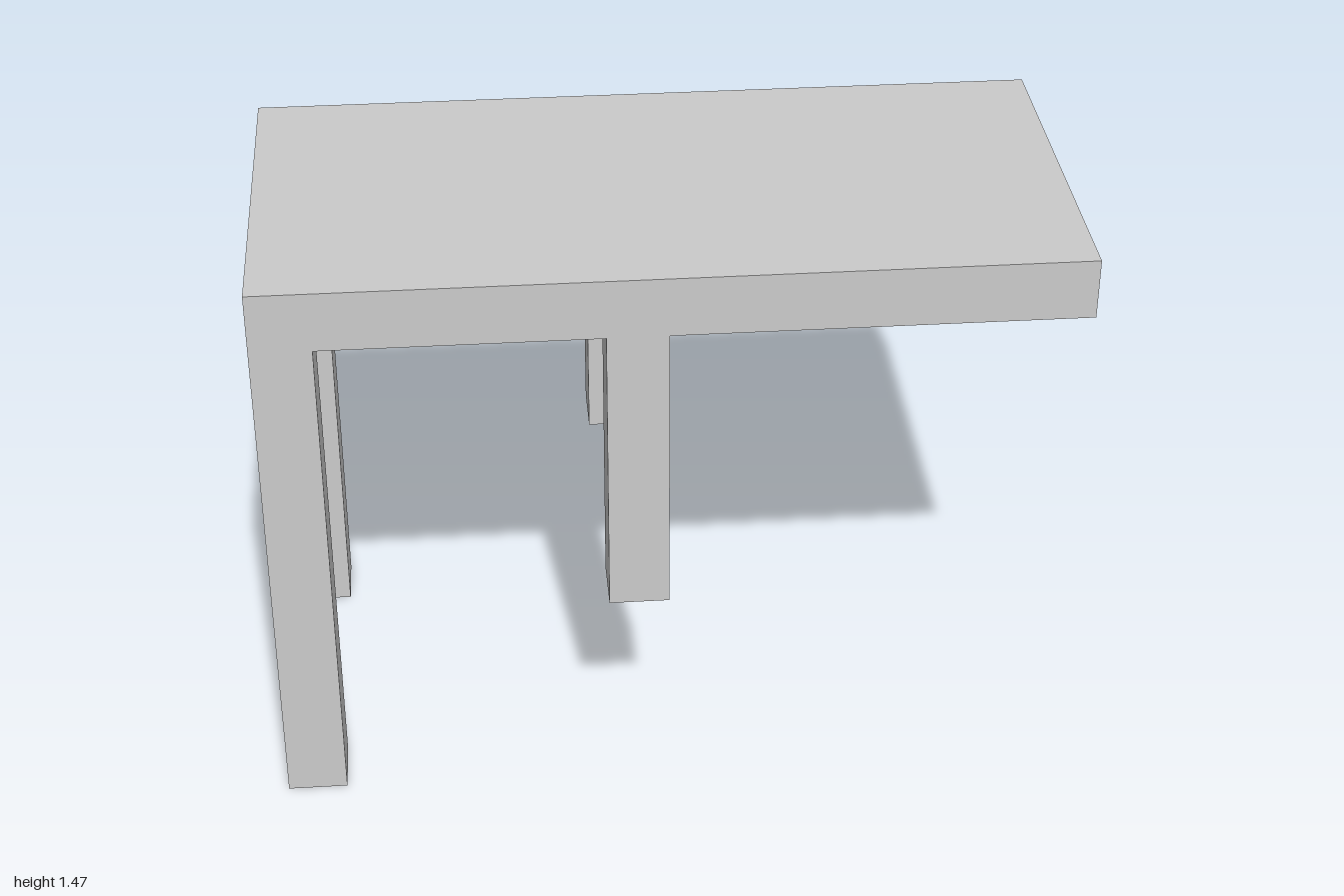
import * as THREE from 'three';

export function createModel() {
  const model = new THREE.Group();
  model.name = 'table';
  const material = new THREE.MeshStandardMaterial({ color: 0xcccccc, flatShading: true });

  // Box given by its lower and upper limits on each axis
  function addBox(name, [x0, x1], [y0, y1], [z0, z1]) {
    const mesh = new THREE.Mesh(new THREE.BoxGeometry(x1 - x0, y1 - y0, z1 - z0), material);
    mesh.position.set((x0 + x1) / 2, (y0 + y1) / 2, (z0 + z1) / 2);
    mesh.name = name;
    model.add(mesh);
  }

  const top = 1.47, underside = 1.316, halfDepth = 0.485, leg = 0.15;

  addBox('tableTop', [-1, 1], [underside, top], [-halfDepth, halfDepth]);

  // Long end legs and short middle legs, one of each at front and back
  for (const [side, z] of [['Front', halfDepth - leg], ['Back', -halfDepth]]) {
    addBox('longLeg' + side, [-1, -1 + leg], [0, underside], [z, z + leg]);
    addBox('shortLeg' + side, [-0.165, -0.165 + leg], [0.545, underside], [z, z + leg]);
  }

  return model;
}
